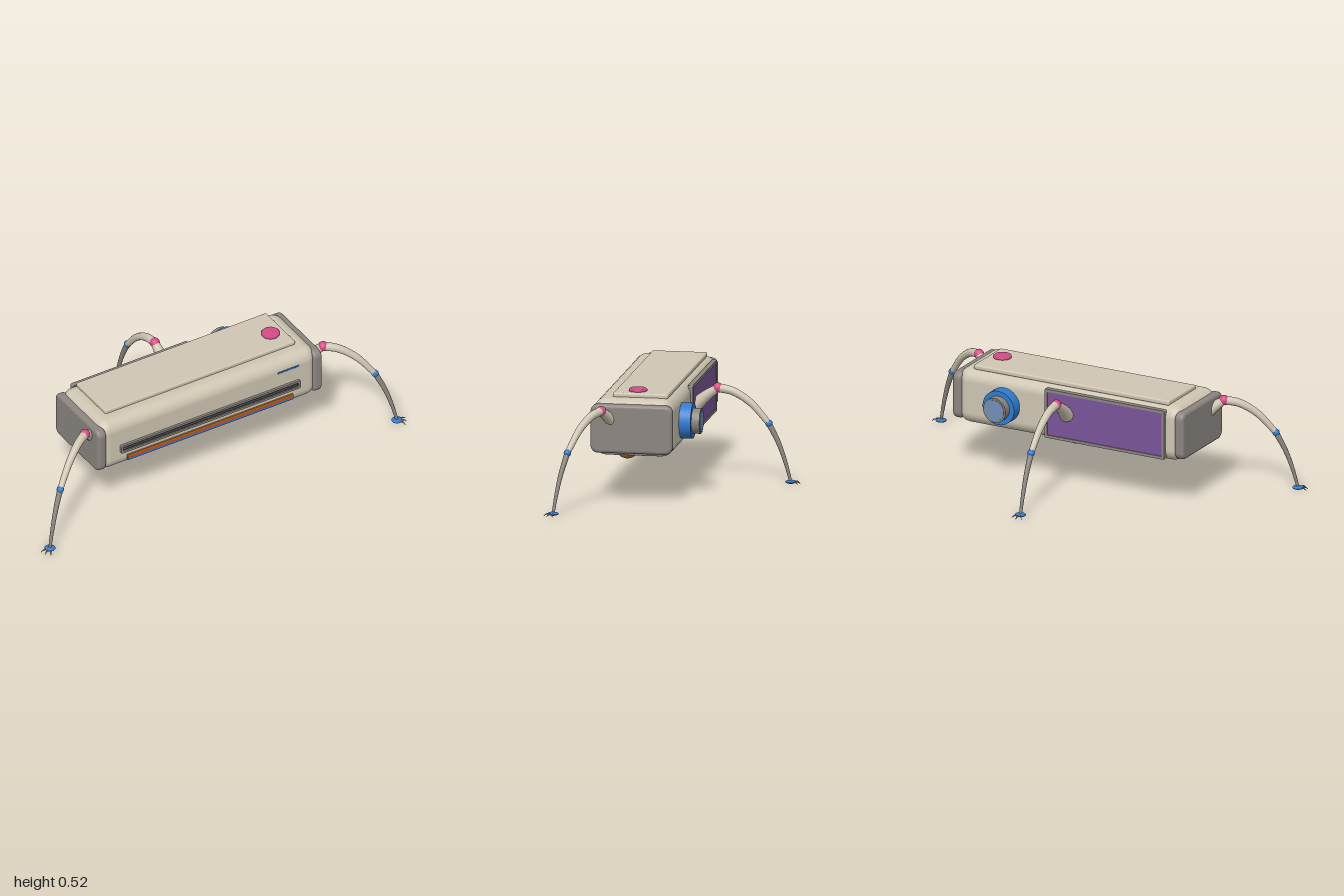
import * as THREE from 'three';
import { RoundedBoxGeometry } from 'three/addons/geometries/RoundedBoxGeometry.js';

const mat = (name, color) => Object.assign(new THREE.MeshStandardMaterial({ color }), { name });

export function createModel() {
  const model = new THREE.Group();
  model.name = 'leggedDevice';
  const M = {
    beige: mat('warm beige', 0xcfc6b3),
    grey: mat('warm grey', 0x8b8580),
    blue: mat('bright blue', 0x2f7bd0),
    pink: mat('pink', 0xd24c86),
    orange: mat('amber', 0xb9701f),
    red: mat('stripe red', 0xc44a2c),
    purple: mat('screen purple', 0x7a549a),
    dark: mat('slot dark', 0x35353b),
    glass: mat('lens glass', 0x7390b4),
  };

  const add = (name, geo, material, x = 0, y = 0, z = 0, parent = model) => {
    const m = new THREE.Mesh(geo, material);
    m.name = name;
    m.position.set(x, y, z);
    parent.add(m);
    return m;
  };
  const box = (w, h, d, r) => (r ? new RoundedBoxGeometry(w, h, d, 4, r) : new THREE.BoxGeometry(w, h, d));
  const disc = (r, h) => new THREE.CylinderGeometry(r, r, h, 40);

  // Rounded rectangle outline, used for end caps and frames
  const roundRect = (w, h, r, T = THREE.Shape) => {
    const s = new T(), a = w / 2, b = h / 2;
    s.moveTo(-a + r, -b);
    s.lineTo(a - r, -b).absarc(a - r, -b + r, r, -Math.PI / 2, 0);
    s.lineTo(a, b - r).absarc(a - r, b - r, r, 0, Math.PI / 2);
    s.lineTo(-a + r, b).absarc(-a + r, b - r, r, Math.PI / 2, Math.PI);
    s.lineTo(-a, -b + r).absarc(-a + r, -b + r, r, Math.PI, Math.PI * 1.5);
    return s;
  };
  const frame = (w, h, d, t) => {
    const s = roundRect(w, h, 0.006);
    s.holes.push(roundRect(w - 2 * t, h - 2 * t, 0.003, THREE.Path));
    return new THREE.ExtrudeGeometry(s, { depth: d, bevelEnabled: false, curveSegments: 4 });
  };

  // Body, end caps and lid
  add('body', box(1.2, 0.272, 0.38, 0.06), M.beige, 0, 0.356, 0.168);
  const bevel = 0.016;
  const capGeo = new THREE.ExtrudeGeometry(roundRect(0.39 - 2 * bevel, 0.232 - 2 * bevel, 0.02), {
    depth: 0.048 - 2 * bevel, bevelSize: bevel, bevelThickness: bevel, bevelSegments: 5, curveSegments: 6,
  });
  capGeo.translate(0, 0, -(0.048 - 2 * bevel) / 2);
  capGeo.rotateY(Math.PI / 2);
  for (const s of [-1, 1]) add(s > 0 ? 'leftEndCap' : 'rightEndCap', capGeo, M.grey, s * 0.593, 0.355, 0.17);
  add('lid', box(1.045, 0.024, 0.262, 0.008), M.beige, 0, 0.499, 0.143);

  // Top button
  const button = [[0, 0], [0.043, 0], [0.043, 0.013], [0.038, 0.018], [0, 0.018]].map((p) => new THREE.Vector2(...p));
  add('topButton', new THREE.LatheGeometry(button, 40), M.pink, 0.452, 0.506, 0.166);

  // Front slot and stripes
  add('slotFrame', frame(0.985, 0.044, 0.02, 0.011), M.grey, 0, 0.331, 0.35);
  add('slotOpening', box(0.968, 0.026, 0.006), M.dark, 0, 0.331, 0.36);
  add('slotBar', box(0.95, 0.003, 0.004), M.grey, 0, 0.331, 0.363);
  [M.orange, M.red, M.blue].forEach((m, i) =>
    add('frontStripe', box(0.91, 0.01, 0.009), m, 0, 0.28 - i * 0.01, 0.3605));

  // Small row of marker dashes, tucked against the curved upper front edge
  for (let i = 0; i < 5; i++)
    add('frontDash', box(0.021, 0.008, 0.008), M.blue, 0.385 + i * 0.0235, 0.432, 0.357);

  // Rear screen
  add('screenFrame', frame(0.64, 0.242, 0.024, 0.014), M.grey, -0.203, 0.355, -0.034);
  add('screen', box(0.614, 0.216, 0.008), M.purple, -0.203, 0.355, -0.025);

  // Rear lens
  const lens = new THREE.Group();
  lens.name = 'lens';
  lens.position.set(0.34, 0.354, -0.02);
  lens.rotation.x = -Math.PI / 2;
  model.add(lens);
  add('lensCollar', disc(0.084, 0.057), M.blue, 0, 0.0285, 0, lens);
  add('lensBarrel', disc(0.06, 0.04), M.grey, 0, 0.075, 0, lens);
  add('lensGlass', disc(0.051, 0.004), M.glass, 0, 0.095, 0, lens);

  // Amber underside bumps
  const bump = new THREE.SphereGeometry(0.05, 28, 18);
  bump.scale(1, 0.84, 1);
  for (const [x, z] of [[-0.485, 0.21], [0, 0.07], [0.485, 0.21]]) add('undersideBump', bump, M.orange, x, 0.236, z);

  // Tube whose radius changes evenly from r0 to r1
  const taper = (points, r0, r1, seg = 20, sides = 14) => {
    const curve = new THREE.CatmullRomCurve3(points.map((p) => new THREE.Vector3(p[0], p[1], p[2] || 0)));
    const geo = new THREE.TubeGeometry(curve, seg, 1, sides);
    const pos = geo.attributes.position, v = new THREE.Vector3();
    for (let i = 0; i < pos.count; i++) {
      const t = Math.floor(i / (sides + 1)) / seg;
      const c = curve.getPointAt(t);
      v.fromBufferAttribute(pos, i).sub(c).multiplyScalar(r0 + (r1 - r0) * t).add(c);
      pos.setXYZ(i, v.x, v.y, v.z);
    }
    return geo;
  };

  // Legs, each built reaching along +x and then turned outward
  const hipGeo = taper([[-0.1, 0.367], [-0.055, 0.408], [0, 0.448]], 0.034, 0.019);
  const upperGeo = taper([[0, 0.448], [0.07, 0.434], [0.155, 0.382], [0.243, 0.285]], 0.021, 0.014);
  const lowerGeo = taper([[0.243, 0.285], [0.288, 0.195], [0.322, 0.1], [0.346, 0.012]], 0.014, 0.007);
  const clawGeo = taper([[0.018, 0.011], [0.034, 0.011], [0.047, 0.002]], 0.005, 0.001, 8, 8);
  const footGeo = new THREE.SphereGeometry(0.026, 24, 12);
  footGeo.scale(1, 0.33, 1);

  const makeLeg = (name, x, z, turn) => {
    const leg = new THREE.Group();
    leg.name = name;
    leg.position.set(x, 0, z);
    leg.rotation.y = turn;
    model.add(leg);
    add('hip', hipGeo, M.beige, 0, 0, 0, leg);
    add('hipBase', new THREE.SphereGeometry(0.034, 18, 12), M.beige, -0.1, 0.367, 0, leg);
    add('hipJoint', new THREE.SphereGeometry(0.024, 20, 14), M.pink, 0, 0.448, 0, leg);
    add('upperLeg', upperGeo, M.beige, 0, 0, 0, leg);
    add('kneeJoint', new THREE.SphereGeometry(0.0175, 18, 12), M.blue, 0.243, 0.285, 0, leg);
    add('lowerLeg', lowerGeo, M.grey, 0, 0, 0, leg);
    add('foot', footGeo, M.blue, 0.346, 0.011, 0, leg);
    for (const a of [-0.6, 0, 0.6]) add('claw', clawGeo, M.grey, 0.346, 0, 0, leg).rotation.y = a;
  };
  const splay = 0.528;
  makeLeg('frontLeftLeg', 0.655, 0.305, -splay);
  makeLeg('frontRightLeg', -0.655, 0.305, Math.PI + splay);
  makeLeg('backLeg', 0, -0.132, Math.PI / 2);

  return model;
}
